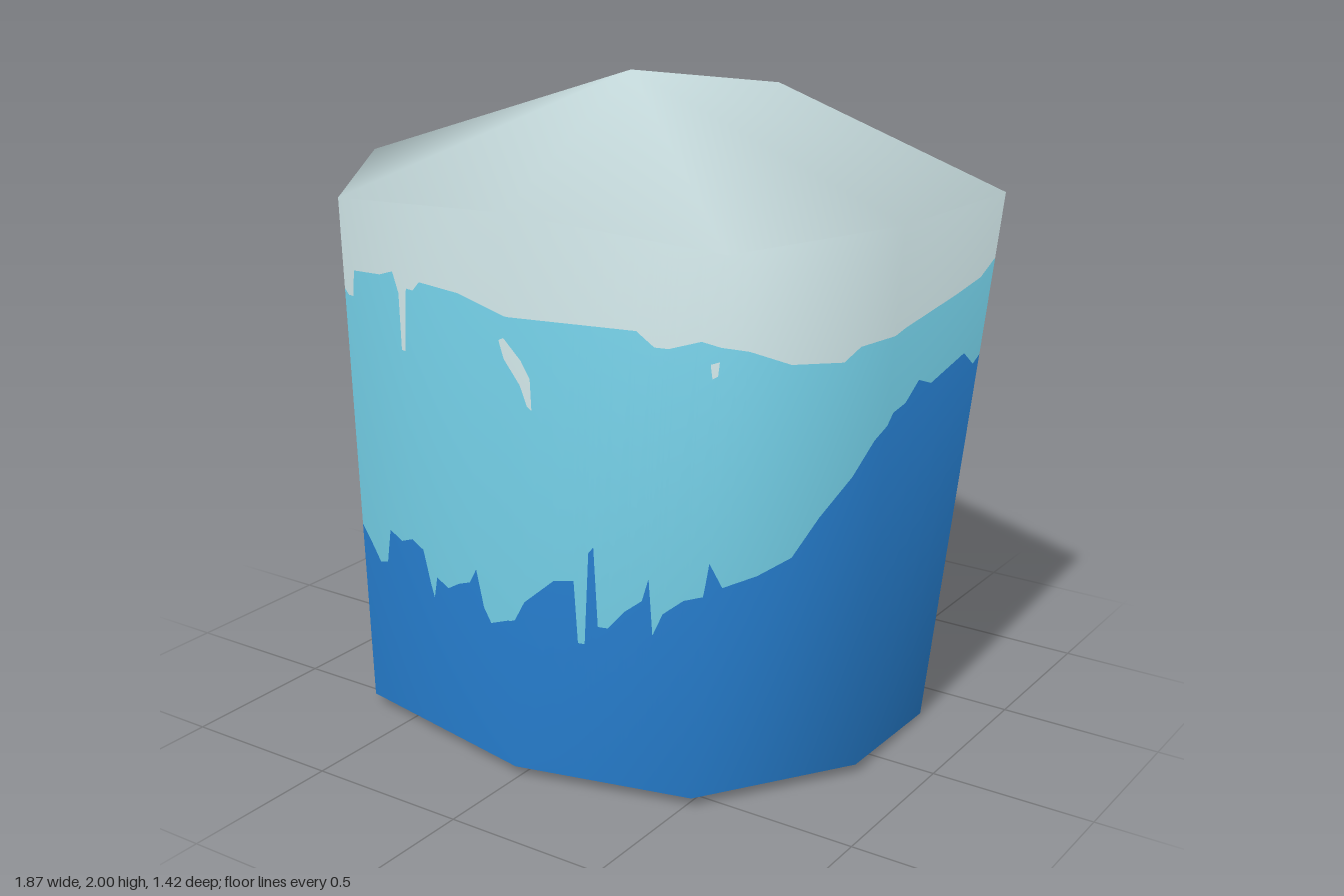
import * as THREE from 'three';

// Wall columns from the back edge on -x, round the front, to the back edge on +x
const BOTTOM = [[-0.74, 0, -0.31], [-0.83, 0.03, 0.2], [-0.67, 0.03, 0.57], [-0.01, 0.03, 0.7],
  [0.52, 0.03, 0.57], [0.81, 0.03, 0.13], [0.8, 0.01, -0.31]];
const TOP = [[-0.89, 1.635, -0.48], [-0.94, 1.68, 0.17], [-0.73, 1.62, 0.57], [-0.01, 1.69, 0.71],
  [0.62, 1.63, 0.57], [0.92, 1.67, 0.16], [0.93, 1.655, -0.45]];
const BACK_TIP = [0.01, 1.86, -0.71];
const PEAK = [0, 2, 0.11];

// Paint edges: front points are [x, y], side points are [z, y] on the +x wall,
// back points are [column, y] on the -x wall
const PALE_EDGE = {
  back: [[0, 1.63], [0.5, 1.56]],
  front: [[-0.92, 1.49], [-0.88, 1.5], [-0.86, 1.45], [-0.8, 1.41], [-0.73, 1.38], [-0.7, 1.33], [-0.68, 1.33],
    [-0.67, 1.41], [-0.55, 1.42], [-0.49, 1.44], [-0.465, 1.38], [-0.46, 1.21], [-0.445, 1.21], [-0.43, 1.4],
    [-0.4, 1.4], [-0.37, 1.43], [-0.2, 1.43], [0, 1.4], [0.37, 1.4], [0.42, 1.36], [0.46, 1.36], [0.55, 1.39],
    [0.65, 1.36], [0.72, 1.31], [0.81, 1.3], [0.84, 1.34]],
  side: [[0.1, 1.37], [-0.2, 1.4], [-0.35, 1.42], [-0.43, 1.46]],
};
const BLUE_EDGE = {
  back: [[0, 1.42], [0.3, 1.4], [0.6, 1.35], [0.8, 1.28]],
  front: [[-0.9, 1.24], [-0.86, 1.12], [-0.83, 1.03], [-0.8, 0.99], [-0.79, 0.8], [-0.77, 0.72], [-0.71, 0.7],
    [-0.69, 0.6], [-0.64, 0.54], [-0.61, 0.5], [-0.575, 0.51], [-0.555, 0.62], [-0.5, 0.6], [-0.45, 0.62],
    [-0.4, 0.6], [-0.37, 0.5], [-0.355, 0.46], [-0.34, 0.53], [-0.29, 0.51], [-0.24, 0.54], [-0.19, 0.56],
    [-0.16, 0.61], [-0.13, 0.5], [-0.1, 0.46], [-0.03, 0.49], [0, 0.5], [0.03, 0.56], [0.12, 0.64], [0.18, 0.65],
    [0.19, 0.46], [0.21, 0.46], [0.225, 0.74], [0.24, 0.76], [0.25, 0.52], [0.28, 0.52], [0.33, 0.58], [0.38, 0.62],
    [0.4, 0.69], [0.41, 0.52], [0.44, 0.59], [0.5, 0.64], [0.555, 0.66], [0.57, 0.76], [0.59, 0.68], [0.65, 0.7],
    [0.71, 0.74], [0.76, 0.85], [0.82, 0.96], [0.86, 1.06]],
  side: [[0.12, 1.13], [0.05, 1.14], [-0.02, 1.19], [-0.1, 1.16], [-0.2, 1.18], [-0.3, 1.2], [-0.37, 1.15], [-0.42, 1.17]],
};

const lerp = THREE.MathUtils.lerp;
const mix = (a, b, t) => a.map((v, i) => lerp(v, b[i], t));

function makeGeometry(positions, normals, index) {
  const g = new THREE.BufferGeometry();
  g.setAttribute('position', new THREE.Float32BufferAttribute(positions.flat(), 3));
  if (normals) g.setAttribute('normal', new THREE.Float32BufferAttribute(normals.flat(), 3));
  g.setIndex(index);
  if (!normals) g.computeVertexNormals();
  return g;
}

// Smooth normals shared by the walls and the roof
function cageNormals() {
  const index = [];
  for (let i = 0; i < 6; i++) index.push(i, i + 1, i + 8, i, i + 8, i + 7);
  for (let i = 0; i < 8; i++) index.push(7 + i, 7 + ((i + 1) % 8), 15);
  const n = makeGeometry([...BOTTOM, ...TOP, BACK_TIP, PEAK], null, index).getAttribute('normal');
  return Array.from({ length: 16 }, (_, i) => [n.getX(i), n.getY(i), n.getZ(i)]);
}
const NORMALS = cageNormals();

// Interpolate a row of columns at the fractional column u
function along(row, u) {
  const i = Math.min(5, Math.max(0, Math.floor(u)));
  return mix(row[i], row[i + 1], u - i);
}

// Point and normal on the wall at column u and height y
function wallAt(u, y) {
  const b = along(BOTTOM, u), t = along(TOP, u);
  const v = THREE.MathUtils.clamp((y - b[1]) / (t[1] - b[1]), 0, 1);
  const n = mix(along(NORMALS.slice(0, 7), u), along(NORMALS.slice(7, 14), u), v);
  return { p: mix(b, t, v), n };
}

// Column u where the wall has a given coordinate (axis 0 = x, 2 = z) at height y
function columnOf(value, y, axis, first, last) {
  const at = (i) => lerp(BOTTOM[i][axis], TOP[i][axis], y / 1.66);
  for (let i = first; i < last; i++) {
    const t = (value - at(i)) / (at(i + 1) - at(i));
    if (t <= 1 || i === last - 1) return i + THREE.MathUtils.clamp(t, 0, 1);
  }
}

function paintEdge({ back, front, side }) {
  const pts = [
    ...back,
    ...front.map(([x, y]) => [columnOf(x, y, 0, 1, 5), y]),
    ...side.map(([z, y]) => [columnOf(z, y, 2, 5, 6), y]),
  ].sort((a, b) => a[0] - b[0]);
  return {
    stops: pts.map((p) => p[0]),
    height(u) {
      const k = pts.findIndex((p) => p[0] >= u);
      if (k === 0) return pts[0][1];
      if (k < 0) return pts[pts.length - 1][1];
      const [a, b] = [pts[k - 1], pts[k]];
      return lerp(a[1], b[1], (u - a[0]) / (b[0] - a[0] || 1));
    },
  };
}

// Strip of wall between two height functions
function bandGeometry(low, high, stops) {
  const pos = [], nor = [], index = [];
  stops.forEach((u, i) => {
    for (const y of [low(u), high(u)]) {
      const { p, n } = wallAt(u, y);
      pos.push(p);
      nor.push(n);
    }
    const a = i * 2;
    if (i) index.push(a - 2, a, a + 1, a - 2, a + 1, a - 1);
  });
  return makeGeometry(pos, nor, index);
}

// Thin paint run lying just off the wall, as [left, right] rows from the top down
function dripGeometry(rows, offset) {
  const pos = [], nor = [], index = [];
  rows.forEach((row, i) => {
    for (const [x, y] of row) {
      const { p, n } = wallAt(columnOf(x, y, 0, 1, 5), y);
      pos.push(p.map((v, k) => v + n[k] * offset));
      nor.push(n);
    }
    const a = i * 2;
    if (i) index.push(a - 2, a, a - 1, a - 1, a, a + 1);
  });
  return makeGeometry(pos, nor, index);
}

export function createModel() {
  const group = new THREE.Group();
  const material = (name, color) => {
    const m = new THREE.MeshStandardMaterial({ color, side: THREE.DoubleSide });
    m.name = name;
    return m;
  };
  const pale = material('pale grey blue', 0xc8dddf);
  const cyan = material('light cyan', 0x70c9e0);
  const blue = material('deep blue', 0x257bca);
  const add = (name, geometry, mat) => {
    const mesh = new THREE.Mesh(geometry, mat);
    mesh.name = name;
    group.add(mesh);
  };

  // Three painted bands of the open wall
  const upper = paintEdge(PALE_EDGE), lower = paintEdge(BLUE_EDGE);
  const stops = [...new Set([0, 1, 2, 3, 4, 5, 6, ...upper.stops, ...lower.stops])].sort((a, b) => a - b);
  add('lowerWall', bandGeometry(() => 0, lower.height, stops), blue);
  add('middleWall', bandGeometry(lower.height, upper.height, stops), cyan);
  add('upperWall', bandGeometry(upper.height, () => 2, stops), pale);

  // Faceted roof fan with the raised tip overhanging the open back
  const roofIndex = [];
  for (let i = 0; i < 8; i++) roofIndex.push(i, (i + 1) % 8, 8);
  add('roof', makeGeometry([...TOP, BACK_TIP, PEAK], NORMALS.slice(7), roofIndex), pale);

  // Loose paint runs, on both faces of the wall
  const drips = [
    [[[-0.03, 1.33], [-0.01, 1.34]], [[-0.01, 1.28], [0.04, 1.28]], [[0.035, 1.21], [0.065, 1.23]], [[0.055, 1.15], [0.068, 1.14]]],
    [[[0.575, 1.33], [0.6, 1.34]], [[0.58, 1.29], [0.595, 1.3]]],
  ];
  for (const rows of drips) for (const offset of [0.004, -0.004]) add('paintRun', dripGeometry(rows, offset), pale);

  return group;
}
